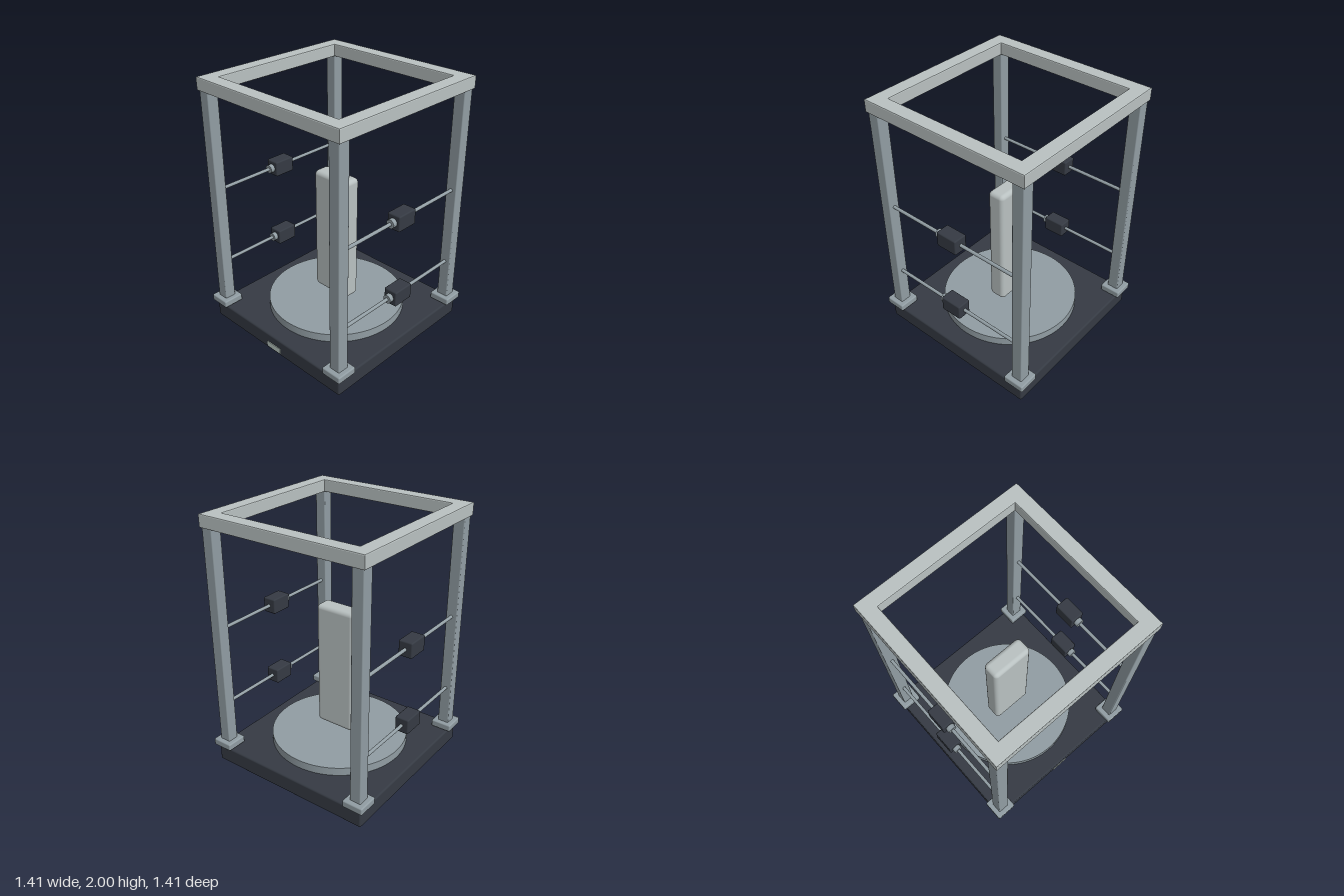
import * as THREE from 'three';
import { RoundedBoxGeometry } from 'three/addons/geometries/RoundedBoxGeometry.js';

const material = (name, color) => Object.assign(new THREE.MeshStandardMaterial({ color }), { name });

export function createModel() {
  const model = new THREE.Group();
  model.name = 'turntableRig';

  const dark = material('charcoal', 0x353a43);
  const steel = material('steel grey', 0x919da3);
  const light = material('pale grey', 0xb9c1c1);
  const pale = material('pale label', 0xbccac4);

  const add = (name, geometry, mat, x = 0, y = 0, z = 0) => {
    const mesh = new THREE.Mesh(geometry, mat);
    mesh.name = name;
    mesh.position.set(x, y, z);
    model.add(mesh);
    return mesh;
  };
  const box = (w, h, d, r) => new RoundedBoxGeometry(w, h, d, 3, r);
  const rod = (r, length) => new THREE.CylinderGeometry(r, r, length, 24).rotateX(Math.PI / 2);

  // Base with label plate and turntable
  add('base', box(1.35, 0.135, 1.35, 0.014), dark, 0, 0.0675, 0);
  add('labelPlate', new THREE.BoxGeometry(0.14, 0.045, 0.008), pale, 0, 0.043, 0.676);
  add('turntable', new THREE.CylinderGeometry(0.535, 0.535, 0.065, 96), steel, 0, 0.1675, 0);

  // Upright rounded block
  add('block', box(0.336, 1.01, 0.14, 0.034), light, 0, 0.755, 0);

  // Corner posts on feet
  for (const x of [-0.62, 0.62]) {
    for (const z of [-0.62, 0.62]) {
      add('post', box(0.09, 1.78, 0.09, 0.008), steel, x, 1.03, z);
      add('foot', box(0.166, 0.056, 0.166, 0.01), steel, x, 0.168, z);
    }
  }

  // Square top frame with bevelled edges
  const bevel = 0.008;
  const square = (target, s) => target.moveTo(-s, -s).lineTo(s, -s).lineTo(s, s).lineTo(-s, s).closePath();
  const frame = square(new THREE.Shape(), 0.675 - bevel);
  frame.holes.push(square(new THREE.Path(), 0.565 + bevel));
  const frameGeometry = new THREE.ExtrudeGeometry(frame, {
    depth: 0.098 - 2 * bevel, bevelSize: bevel, bevelThickness: bevel, bevelSegments: 2,
  }).rotateX(-Math.PI / 2);
  add('topFrame', frameGeometry, light, 0, 1.902 + bevel, 0);

  // Side rails with sliding carriages, and a slack cable under each side of the frame
  for (const x of [-0.62, 0.62]) {
    for (const y of [0.51, 1.132]) {
      add('rail', rod(0.013, 1.17), steel, x, y, 0);
      add('carriage', box(0.11, 0.12, 0.175, 0.01), dark, x, y, 0);
      add('carriageKnob', rod(0.033, 0.04), steel, x, y, 0.102);
    }
    const sag = new THREE.QuadraticBezierCurve3(
      new THREE.Vector3(x, 1.902, -0.58),
      new THREE.Vector3(x, 1.884, 0),
      new THREE.Vector3(x, 1.902, 0.58),
    );
    add('cable', new THREE.TubeGeometry(sag, 16, 0.011, 10), dark);
  }

  return model;
}
